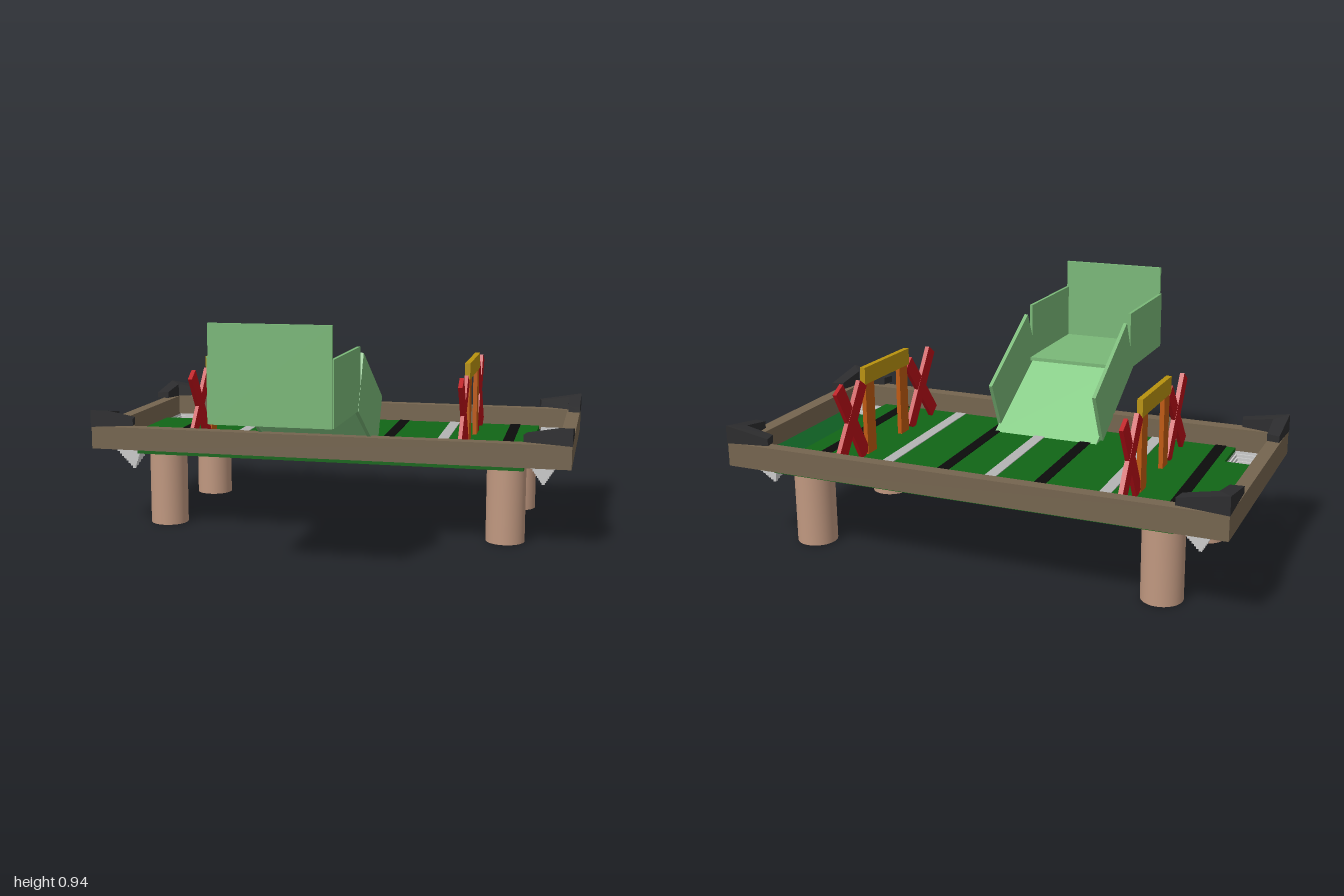
import * as THREE from 'three';

const mat = (color, extra = {}) => new THREE.MeshStandardMaterial({ color, ...extra });
const WOOD = mat(0x75654f), FIELD = mat(0x116616), PANEL = mat(0x0f5c22), LEG = mat(0xc09880);
const BLACK = mat(0x0c0c0c), WHITE = mat(0xb4b4b4), CORNER = mat(0x2c2c2e);
const RED = mat(0xbb0f18), ORANGE = mat(0xc05a10), YELLOW = mat(0xb8920e);
const RAMP = mat(0x7ab878), SLOPE = mat(0x86cc86);
const NET = mat(0xcccccc, { flatShading: true, side: THREE.DoubleSide });

export function createModel() {
  const root = new THREE.Group();

  function add(name, geometry, material) {
    const mesh = new THREE.Mesh(geometry, material);
    mesh.name = name;
    root.add(mesh);
    return mesh;
  }

  // Box given by its limits on each axis
  function box(name, material, x0, x1, y0, y1, z0, z1) {
    const mesh = add(name, new THREE.BoxGeometry(x1 - x0, y1 - y0, z1 - z0), material);
    mesh.position.set((x0 + x1) / 2, (y0 + y1) / 2, (z0 + z1) / 2);
    return mesh;
  }

  // Side profile of [z, y] points, extruded across x from x0 to x1
  function slab(name, material, points, x0, x1) {
    const shape = new THREE.Shape(points.map(([z, y]) => new THREE.Vector2(z, y)));
    const geometry = new THREE.ExtrudeGeometry(shape, { depth: x1 - x0, bevelEnabled: false });
    geometry.rotateY(-Math.PI / 2).translate(x1, 0, 0);
    return add(name, geometry, material);
  }

  // Bar between two [z, y] points, in a plane of constant x
  function bar(name, material, x, a, b, width, thick) {
    const dz = b[0] - a[0], dy = b[1] - a[1];
    const mesh = add(name, new THREE.BoxGeometry(thick, Math.hypot(dz, dy), width), material);
    mesh.position.set(x, (a[1] + b[1]) / 2, (a[0] + b[0]) / 2);
    mesh.rotation.x = Math.atan2(dz, dy);
  }

  // Frame rails
  box('frontRail', WOOD, -1, 1, 0.34, 0.435, 0.12, 0.175);
  box('backRail', WOOD, -1, 1, 0.34, 0.435, -0.8, -0.75);
  box('rightRail', WOOD, -1, -0.947, 0.34, 0.435, -0.75, 0.12);
  box('leftRail', WOOD, 0.943, 1, 0.34, 0.435, -0.75, 0.12);

  // Playing field, with end panels leaving the four corners open
  box('field', FIELD, -0.8, 0.815, 0.325, 0.355, -0.77, 0.165);
  box('rightEndPanel', FIELD, -0.95, -0.8, 0.33, 0.355, -0.58, -0.06);
  box('leftEndPanel', PANEL, 0.815, 0.945, 0.33, 0.355, -0.59, -0.06);

  // Slightly slanted alternating stripes
  [-0.745, -0.475, -0.215, -0.012, 0.19, 0.43, 0.712].forEach((x, i) => {
    const stripe = box('stripe', i % 2 ? WHITE : BLACK, x - 0.023, x + 0.023, 0.354, 0.358, -0.75, 0.12);
    stripe.rotation.y = 0.012;
  });

  // Legs
  for (const x of [-0.72, 0.735]) {
    for (const z of [0.005, -0.61]) {
      const leg = add('leg', new THREE.CylinderGeometry(0.08, 0.08, 0.33, 32), LEG);
      leg.position.set(x, 0.165, z);
    }
  }

  // L-shaped corner caps, tallest at the outer corner
  const capOutline = [[0, 0], [0.19, 0], [0.18, 0.05], [0.055, 0.06], [0.05, 0.19], [0, 0.2]];
  for (const sx of [-1, 1]) {
    for (const [cz, sz] of [[0.178, -1], [-0.803, 1]]) {
      const shape = new THREE.Shape(capOutline.map(([u, v]) => new THREE.Vector2(-sx * u, -sz * v)));
      const geometry = new THREE.ExtrudeGeometry(shape, { depth: 1, bevelEnabled: false }).rotateX(-Math.PI / 2);
      const p = geometry.attributes.position;
      for (let i = 0; i < p.count; i++) {
        const d = Math.max(Math.abs(p.getX(i)), Math.abs(p.getZ(i))) / 0.19;
        p.setY(i, p.getY(i) > 0.5 ? 0.072 - 0.032 * d : 0.012 * d);
      }
      geometry.computeVertexNormals();
      add('cornerCap', geometry, CORNER).position.set(sx * 1.002, 0.433, cz);
    }
  }

  // Stepped pocket nets tapering to a point under each corner
  const steps = 10, profile = [new THREE.Vector2(0, 0)];
  for (let i = 0; i < steps; i++) {
    const r = Math.SQRT2 * (i + 1) / steps;
    profile.push(new THREE.Vector2(r, i / steps), new THREE.Vector2(r, (i + 1) / steps));
  }
  for (const [x, y, half] of [[-0.872, 0.232, 0.066], [0.885, 0.245, 0.06]]) {
    for (const z of [0.022, -0.665]) {
      const net = add('pocketNet', new THREE.LatheGeometry(profile, 4, Math.PI / 4), NET);
      net.position.set(x, y, z);
      net.scale.set(half, 0.35 - y, 0.075);
    }
  }

  // Goals with a crossed barrier on each side
  for (const x of [-0.59, 0.55]) {
    box('goalPost', ORANGE, x - 0.009, x + 0.009, 0.35, 0.7, -0.235, -0.17);
    box('goalPost', ORANGE, x - 0.009, x + 0.009, 0.35, 0.7, -0.512, -0.445);
    bar('goalCrossbar', YELLOW, x, [-0.155, 0.673], [-0.517, 0.679], 0.068, 0.022);
    bar('barrierBar', RED, x, [0.058, 0.653], [-0.14, 0.36], 0.06, 0.018);
    bar('barrierBar', RED, x, [-0.147, 0.642], [0.07, 0.37], 0.06, 0.016);
    bar('barrierBar', RED, x, [-0.528, 0.655], [-0.72, 0.37], 0.06, 0.018);
    bar('barrierBar', RED, x, [-0.703, 0.673], [-0.525, 0.36], 0.06, 0.016);
  }

  // Ramp: sloped floor, raised tray, end wall and side walls
  slab('rampFloor', SLOPE, [[0.385, 0.575], [0.375, 0.59], [-0.065, 0.35], [-0.055, 0.335]], -0.262, 0.192);
  box('trayFloor', RAMP, -0.262, 0.192, 0.575, 0.59, 0.315, 0.8);
  box('trayEndWall', RAMP, -0.263, 0.192, 0.575, 0.94, 0.785, 0.8);
  for (const x of [-0.272, 0.183]) {
    slab('rampSideWall', RAMP, [[0.385, 0.575], [0.285, 0.79], [-0.1, 0.565], [0, 0.352]], x, x + 0.015);
    slab('traySideWall', RAMP, [[0.79, 0.575], [0.79, 0.82], [0.34, 0.82], [0.34, 0.67], [0.385, 0.575]], x + 0.001, x + 0.014);
  }

  return root;
}
